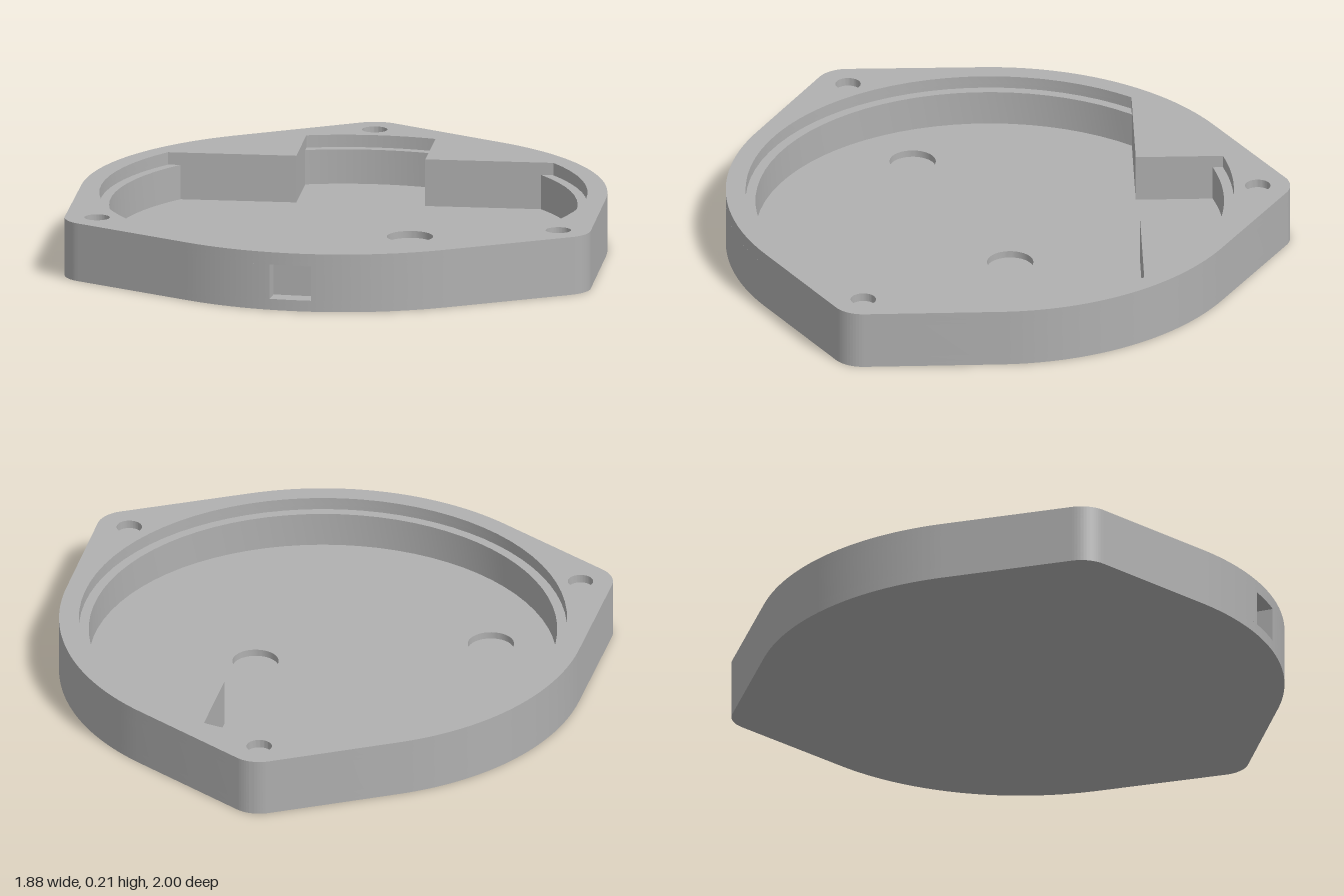
import * as THREE from 'three';
import { toCreasedNormals } from 'three/addons/utils/BufferGeometryUtils.js';

// Plan is drawn in shape space: x right, y towards the back (-z)
const CY = -0.065;          // centre of the round body
const R = 0.935;            // body radius
const TIP_R = 0.115;        // rounded corner radius
const TIP_D = 0.95;         // corner distance from centre
const BLOCK_Y = 0.46;       // front face of the rear blocks
const SLOT = 0.23;          // half width of the slot between them
const rad = THREE.MathUtils.degToRad;

const polar = (d, a) => [d * Math.cos(a), CY + d * Math.sin(a)];

// Round body blended by tangents into three corners, optionally with a port recess
function outline(withPort) {
  const s = new THREE.Shape();
  const phi = Math.acos((R - TIP_R) / TIP_D);
  const port = rad(270 - 4.9), halfW = 0.075;
  const half = Math.asin(halfW / R);
  for (let i = 0; i < 3; i++) {
    const a = rad(90 + 120 * i), b = a + rad(120);
    s.absarc(...polar(TIP_D, a), TIP_R, a - phi, a + phi, false);
    if (withPort && i === 1) {
      const inner = Math.hypot(0.865, halfW), da = Math.atan(halfW / 0.865);
      s.absarc(0, CY, R, a + phi, port - half, false);
      s.lineTo(...polar(inner, port - da));
      s.lineTo(...polar(inner, port + da));
      s.absarc(0, CY, R, port + half, b - phi, false);
    } else {
      s.absarc(0, CY, R, a + phi, b - phi, false);
    }
  }
  s.closePath();
  return s;
}

// Round cavity, cut off by the two rear blocks with a slot between them
function cavity(r) {
  const p = new THREE.Path();
  const a = Math.asin((BLOCK_Y - CY) / r), b = Math.acos(SLOT / r);
  p.absarc(0, CY, r, Math.PI - a, 2 * Math.PI + a, false);
  p.lineTo(SLOT, BLOCK_Y);
  p.absarc(0, CY, r, b, Math.PI - b, false);
  p.lineTo(-SLOT, BLOCK_Y);
  p.closePath();
  return p;
}

function circle(x, y, r) {
  const p = new THREE.Path();
  p.absarc(x, y, r, 0, Math.PI * 2, false);
  return p;
}

export function createModel() {
  const group = new THREE.Group();
  group.name = 'housing';
  const grey = new THREE.MeshStandardMaterial({ color: 0xb0b0b0 });
  grey.name = 'grey';

  function layer(name, y0, y1, holes, withPort = false) {
    const shape = outline(withPort);
    shape.holes.push(...holes);
    const geo = new THREE.ExtrudeGeometry(shape, { depth: y1 - y0, bevelEnabled: false, curveSegments: 28 });
    geo.rotateX(-Math.PI / 2);
    geo.translate(0, y0, 0);
    const mesh = new THREE.Mesh(toCreasedNormals(geo, 0.4), grey);
    mesh.name = name;
    group.add(mesh);
  }

  // Floor with two shallow round pockets
  layer('basePlate', 0, 0.015, []);
  layer('pocketedFloor', 0.015, 0.04, [circle(0.23, 0, 0.082), circle(-0.55, -0.32, 0.082)]);

  // Wall with the front port, its top forming the inner ledge
  layer('wall', 0.04, 0.165, [cavity(0.83)], true);

  // Wider rim, with blind screw holes in the corners
  layer('lowerRim', 0.165, 0.18, [cavity(0.865)]);
  const screws = [0, 1, 2].map((i) => circle(...polar(TIP_D, rad(90 + 120 * i)), 0.045));
  layer('upperRim', 0.18, 0.21, [cavity(0.865), ...screws]);

  return group;
}
